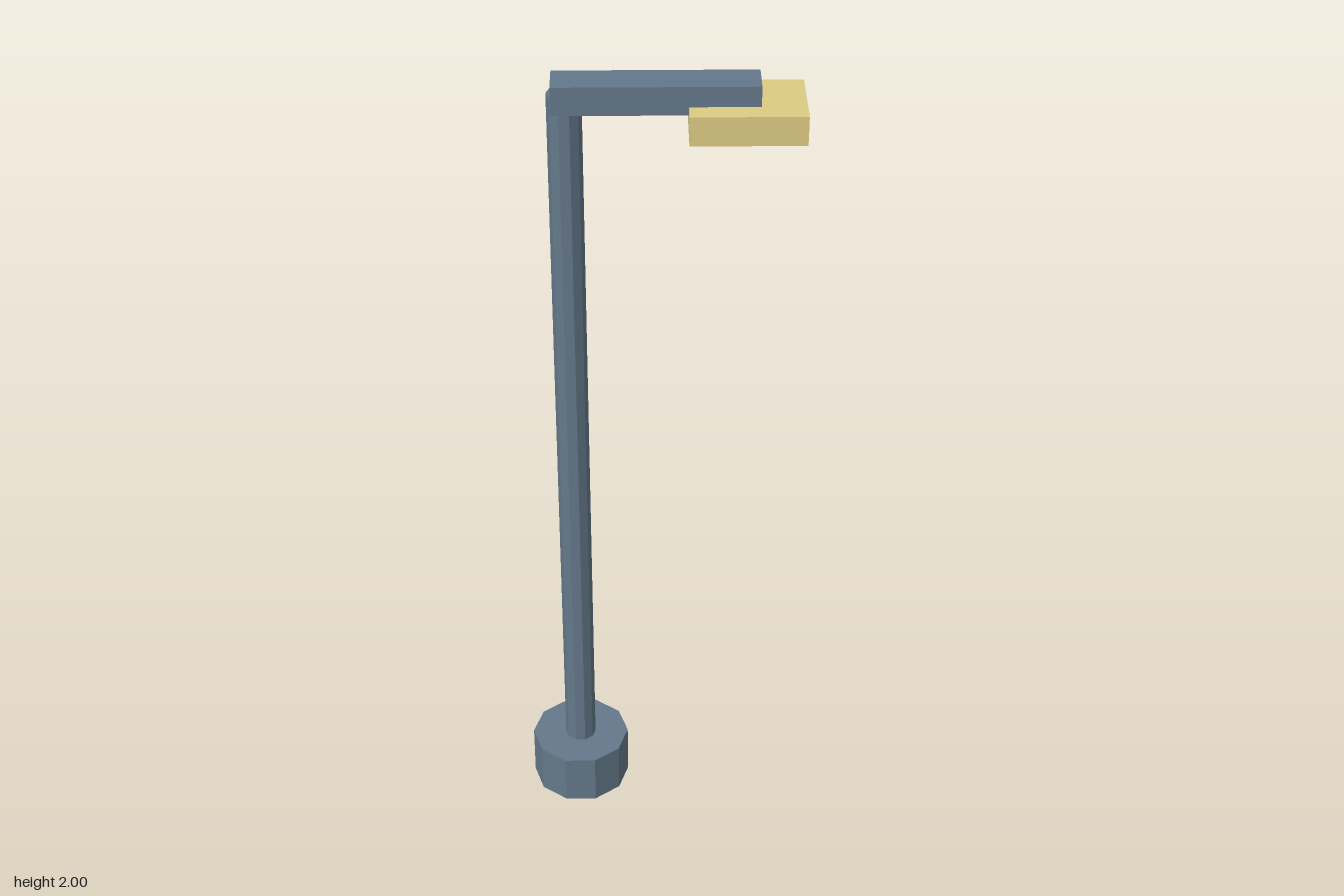
import * as THREE from 'three';

export function createModel() {
  const group = new THREE.Group();
  const steel = new THREE.MeshStandardMaterial({ color: 0x64788a, flatShading: true });
  const glow = new THREE.MeshStandardMaterial({ color: 0xdccb83, flatShading: true });

  const add = (name, geometry, material, x, y) => {
    const mesh = new THREE.Mesh(geometry, material);
    mesh.name = name;
    mesh.position.set(x, y, 0);
    group.add(mesh);
  };
  // Ten-sided upright prism with a corner pointing along x
  const prism = (radius, height) =>
    new THREE.CylinderGeometry(radius, radius, height, 10, 1, false, Math.PI / 2);

  const poleX = -0.199;
  const baseHeight = 0.135;
  const poleTop = 1.968;

  // Foot and mast
  add('base', prism(0.123, baseHeight), steel, poleX, baseHeight / 2);
  add('pole', prism(0.0385, poleTop - 0.1), steel, poleX, (poleTop + 0.1) / 2);

  // Horizontal arm and the lamp head hanging beneath its end
  add('arm', new THREE.BoxGeometry(0.45, 0.066, 0.084), steel, -0.002, 1.967);
  add('lampHead', new THREE.BoxGeometry(0.253, 0.068, 0.18), glow, 0.195, 1.919);

  return group;
}
